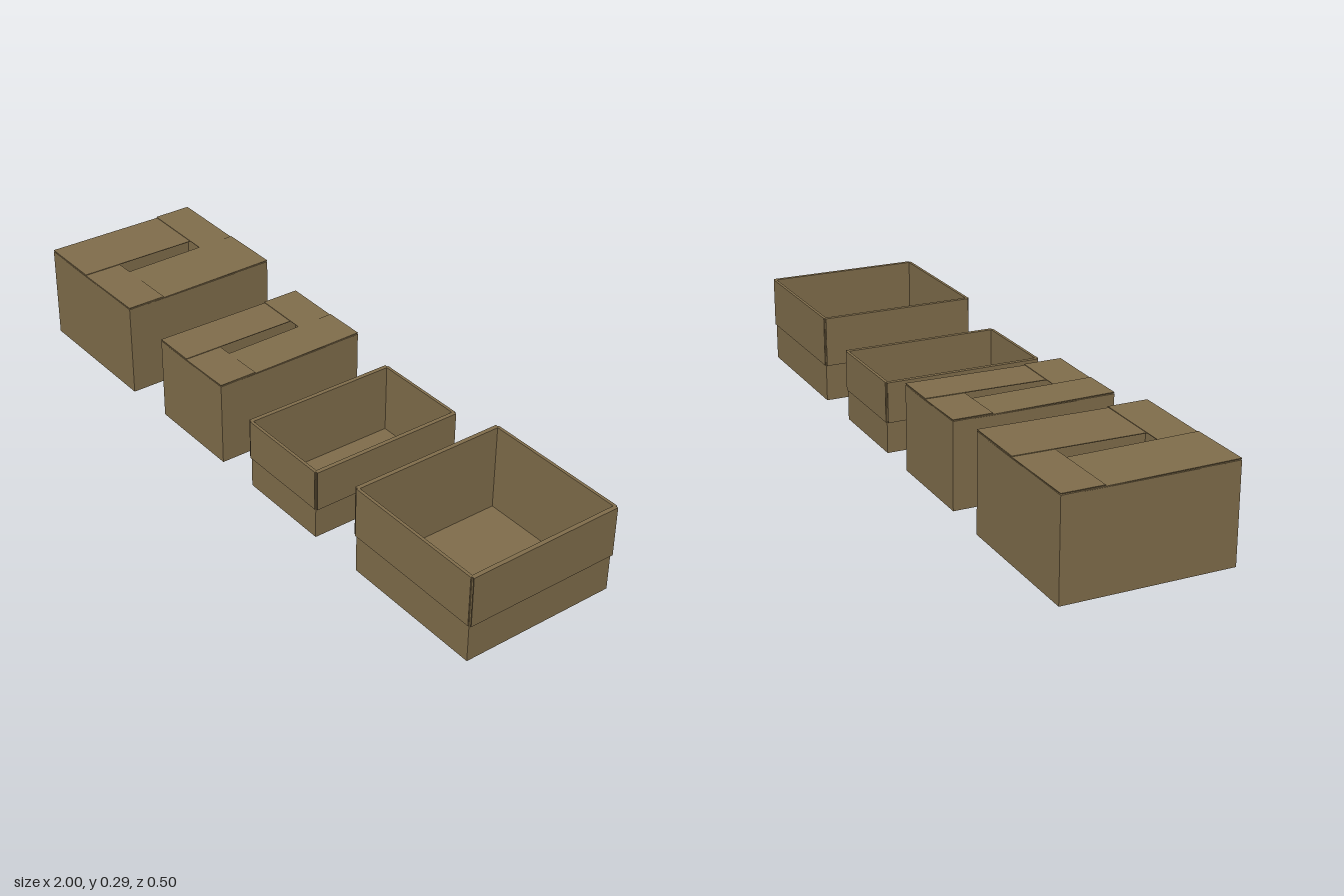
import * as THREE from 'three';

const cardboard = new THREE.MeshStandardMaterial({ color: 0x806d4b });
cardboard.name = 'cardboard';

const T = 0.005; // board thickness

function board(parent, name, w, h, d, x, y, z) {
  const mesh = new THREE.Mesh(new THREE.BoxGeometry(w, h, d), cardboard);
  mesh.name = name;
  mesh.position.set(x, y, z);
  parent.add(mesh);
  return mesh;
}

// Floor and four walls, centred on the group's own x and z
function makeBody(name, w, h, d) {
  const box = new THREE.Group();
  box.name = name;
  board(box, 'floor', w, T, d, 0, T / 2, 0);
  for (const s of [-1, 1]) {
    board(box, s < 0 ? 'rightWall' : 'leftWall', T, h - T, d, s * (w - T) / 2, (h + T) / 2, 0);
    board(box, s < 0 ? 'backWall' : 'frontWall', w - 2 * T, h - T, T, 0, (h + T) / 2, s * (d - T) / 2);
  }
  return box;
}

// Box closed by four interleaved flaps that leave a slot in the middle
function closedBox(name, w, h, d, slotW, slotD) {
  const box = makeBody(name, w, h - 0.003, d);
  const reachX = (w - slotW) / 2, reachZ = (d - slotD) / 2, lift = 0.0025;
  for (const s of [-1, 1]) {
    // each flap tilts slightly so one end lies over its neighbour and the other under
    const side = board(box, 'sideFlap', reachX, 0.002, d, s * (w - reachX) / 2, h, 0);
    side.rotation.x = s * Math.atan(2 * lift / d);
    const end = board(box, 'endFlap', w, 0.002, reachZ, 0, h, s * (d - reachZ) / 2);
    end.rotation.z = s * Math.atan(2 * lift / w);
  }
  return box;
}

// Open box with its flaps folded down over the outside
function openBox(name, w, h, d, flapLength, gap) {
  const box = makeBody(name, w, h, d);
  const t = 0.002, y = h - flapLength / 2;
  for (const s of [-1, 1]) {
    board(box, 'sideFlap', t, flapLength, d, s * (w / 2 + gap - t / 2), y, 0);
    board(box, 'sideFold', gap, t, d, s * (w + gap) / 2, h - t / 2, 0);
    board(box, 'endFlap', w, flapLength, t, 0, y, s * (d / 2 + 0.004 - t / 2));
    board(box, 'endFold', w, t, 0.004, 0, h - t / 2, s * (d / 2 + 0.002));
  }
  return box;
}

export function createModel() {
  const model = new THREE.Group();
  model.name = 'cardboardBoxes';
  const boxes = [
    [closedBox('largeClosedBox', 0.45, 0.29, 0.5, 0.055, 0.26), -0.775],
    [closedBox('smallClosedBox', 0.31, 0.258, 0.485, 0.043, 0.25), -0.235],
    [openBox('smallOpenBox', 0.3, 0.217, 0.48, 0.122, 0.008), 0.212],
    [openBox('largeOpenBox', 0.45, 0.267, 0.48, 0.152, 0.008), 0.765],
  ];
  for (const [box, x] of boxes) {
    box.position.x = x;
    model.add(box);
  }
  return model;
}
